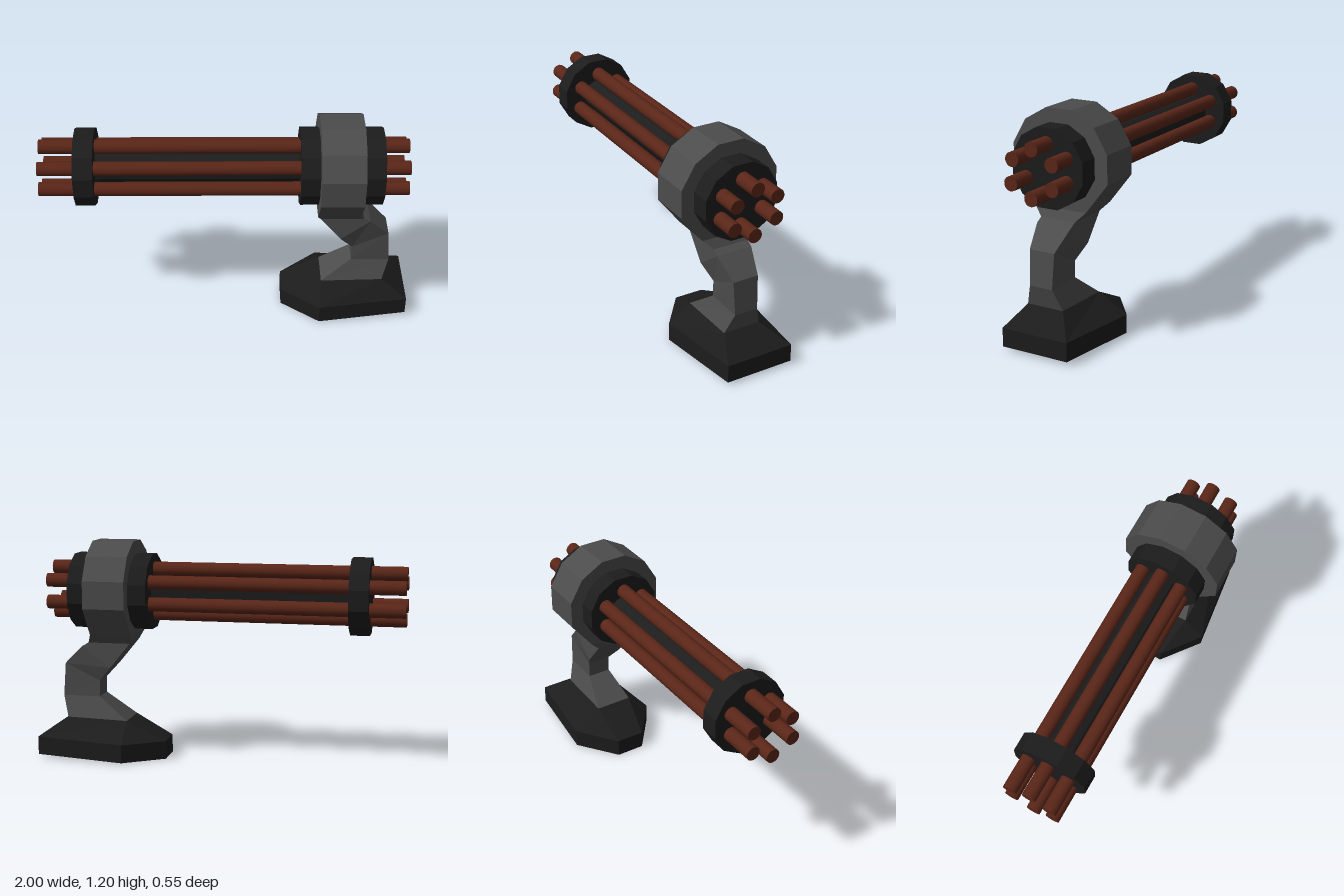
import * as THREE from 'three';

const material = (color, flatShading = true) => new THREE.MeshStandardMaterial({ color, flatShading });

// Flat-shaded solid through rings of corners, listed bottom to top,
// each running counter-clockwise seen from above.
function loft(rings) {
  const out = [];
  const tri = (a, b, c) => out.push(...a, ...b, ...c);
  const n = rings[0].length;
  for (let r = 0; r < rings.length - 1; r++) {
    const a = rings[r], b = rings[r + 1];
    for (let i = 0; i < n; i++) {
      const j = (i + 1) % n;
      tri(a[i], a[j], b[j]);
      tri(a[i], b[j], b[i]);
    }
  }
  const first = rings[0], last = rings[rings.length - 1];
  for (let i = 1; i < n - 1; i++) {
    tri(first[0], first[i + 1], first[i]);
    tri(last[0], last[i], last[i + 1]);
  }
  const g = new THREE.BufferGeometry();
  g.setAttribute('position', new THREE.Float32BufferAttribute(out, 3));
  g.computeVertexNormals();
  return g;
}

// Four-cornered ring from its -x and +x edges: [x, y, half width]
const ring = ([x0, y0, w0], [x1, y1, w1]) =>
  [[x0, y0, w0], [x1, y1, w1], [x1, y1, -w1], [x0, y0, -w0]];

// Cylinder lying along x from x0 to x1
function rod(x0, x1, radius, sides, y, z) {
  const g = new THREE.CylinderGeometry(radius, radius, x1 - x0, sides, 1, false, Math.PI / sides);
  g.rotateZ(Math.PI / 2);
  g.translate((x0 + x1) / 2, y, z);
  return g;
}

export function createModel() {
  const model = new THREE.Group();
  model.name = 'rotaryGunTurret';
  const grey = material(0x4c4c4c);
  const black = material(0x1c1c1c);
  const rust = material(0x5a2618, false);
  const add = (name, geometry, mat) => {
    const mesh = new THREE.Mesh(geometry, mat);
    mesh.name = name;
    model.add(mesh);
  };
  const axisY = 0.923;

  // Six-sided foot, sloping up to the bottom of the stem
  const outline = [[0.3, 0.06], [0.51, 0.225], [1, 0.165], [1, -0.215], [0.51, -0.265], [0.3, -0.1]];
  const rim = (lift) => outline.map(([x, z]) => [x, (x - 0.3) * 0.0286 + lift, z]);
  const [fl, fr, br, bl] = ring([0.52, 0.205, 0.105], [0.86, 0.215, 0.105]);
  add('base', loft([rim(0), rim(0.1), [fl, fl, fr, br, bl, bl]]), black);

  // Crooked stem, flaring into the housing at the top
  add('stem', loft([
    ring([0.52, 0.205, 0.105], [0.86, 0.215, 0.105]),
    ring([0.685, 0.33, 0.066], [0.895, 0.33, 0.066]),
    ring([0.685, 0.42, 0.066], [0.88, 0.515, 0.072]),
    ring([0.615, 0.5, 0.1], [0.77, 0.62, 0.1]),
    ring([0.5, 0.64, 0.1], [0.735, 0.64, 0.1]),
    ring([0.48, 0.69, 0.15], [0.71, 0.69, 0.15]),
  ]), grey);

  // Housing around the drum
  const half = [[0.15, 0.69], [0.275, 0.85], [0.275, 1], [0.2, 1.127], [0.073, 1.2]];
  const mirrored = half.map(([z, y]) => [-z, y]).reverse();
  const shape = new THREE.Shape([...half, ...mirrored].map(([z, y]) => new THREE.Vector2(z, y)));
  const housing = new THREE.ExtrudeGeometry(shape, { depth: 0.23, bevelEnabled: false });
  housing.rotateY(Math.PI / 2);
  housing.translate(0.48, 0, 0);
  add('housing', housing, grey);

  // Twelve-sided drum, muzzle clamp and central shaft
  add('drum', rod(0.38, 0.82, 0.211, 12, axisY, 0), black);
  add('muzzleClamp', rod(-0.81, -0.705, 0.211, 12, axisY, 0), black);
  add('shaft', rod(-0.75, 0.4, 0.09, 12, axisY, 0), black);

  // Six barrels: [y, z]
  const barrels = [[1.048, 0], [0.985, 0.112], [0.985, -0.115], [0.862, 0.122], [0.865, -0.115], [0.8, 0.006]];
  barrels.forEach(([y, z], i) => add(`barrel${i + 1}`, rod(-1, 0.955, 0.038, 20, y, z), rust));

  return model;
}
